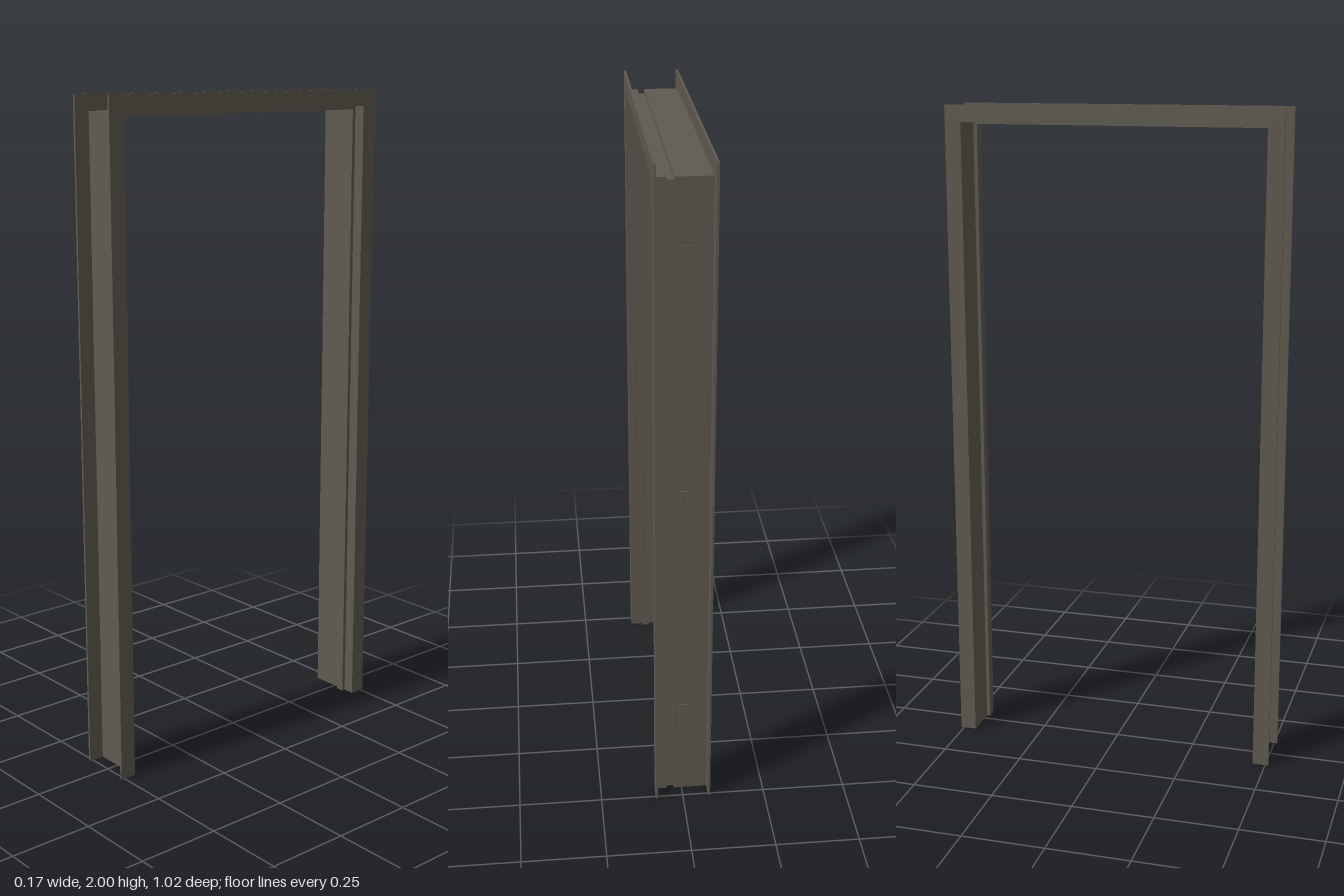
import * as THREE from 'three';

// Folded-sheet profile: [x, depth inward from the outer edge of the frame]
const PROFILE = [
  [-0.084, 0], [-0.077, 0], [-0.077, 0.047], [0.025, 0.047],
  [0.025, 0.058], [0.046, 0.058], [0.046, 0.047], [0.077, 0.047],
  [0.077, 0], [0.084, 0], [0.084, 0.0495], [0.0485, 0.0495],
  [0.0485, 0.0605], [0.0225, 0.0605], [0.0225, 0.0495], [-0.084, 0.0495],
];
const HALF = 0.51, HEIGHT = 2;

// Mitred stations up one jamb, across the head and down the other jamb
const station = {
  leftFoot: ([x, d]) => new THREE.Vector3(x, 0, HALF - d),
  leftCorner: ([x, d]) => new THREE.Vector3(x, HEIGHT - d, HALF - d),
  rightCorner: ([x, d]) => new THREE.Vector3(x, HEIGHT - d, d - HALF),
  rightFoot: ([x, d]) => new THREE.Vector3(x, 0, d - HALF),
};

// Sweeps the profile between two stations, with a flat cap at any foot
function sweep(from, to) {
  const a = PROFILE.map(from), b = PROFILE.map(to), points = [];
  a.forEach((p, i) => {
    const j = (i + 1) % a.length;
    points.push(p, a[j], b[j], p, b[j], b[i]);
  });
  const flat = PROFILE.map(([x, d]) => new THREE.Vector2(x, d));
  const triangles = THREE.ShapeUtils.triangulateShape(flat, []);
  for (const ring of [a, b]) {
    if (ring[0].y > 0) continue;
    for (const [i, j, k] of triangles) {
      const u = ring[j].clone().sub(ring[i]), v = ring[k].clone().sub(ring[i]);
      const facesDown = u.cross(v).y < 0;
      points.push(ring[i], ring[facesDown ? j : k], ring[facesDown ? k : j]);
    }
  }
  const geometry = new THREE.BufferGeometry().setFromPoints(points);
  geometry.computeVertexNormals();
  return geometry;
}

export function createModel() {
  const group = new THREE.Group();
  const steel = new THREE.MeshStandardMaterial({ color: 0x5f5a50 });
  steel.name = 'dark steel';

  const add = (name, geometry, x = 0, y = 0, z = 0) => {
    const mesh = new THREE.Mesh(geometry, steel);
    mesh.name = name;
    mesh.position.set(x, y, z);
    group.add(mesh);
    return mesh;
  };

  // Frame members
  add('frontJamb', sweep(station.leftFoot, station.leftCorner));
  add('head', sweep(station.leftCorner, station.rightCorner));
  add('backJamb', sweep(station.rightCorner, station.rightFoot));

  // Hinge reinforcing plates behind the back jamb, with screws on its inner face
  const plate = new THREE.BoxGeometry(0.03, 0.11, 0.004);
  const screw = new THREE.CylinderGeometry(0.003, 0.003, 0.001, 12);
  screw.rotateX(Math.PI / 2);
  for (const y of [0.26, 0.99, 1.715]) {
    add('hingePlate', plate, -0.007, y, -0.465);
    for (const side of [-1, 1]) add('hingeScrew', screw, -0.015, y + side * 0.052, -0.4604);
  }
  return group;
}
